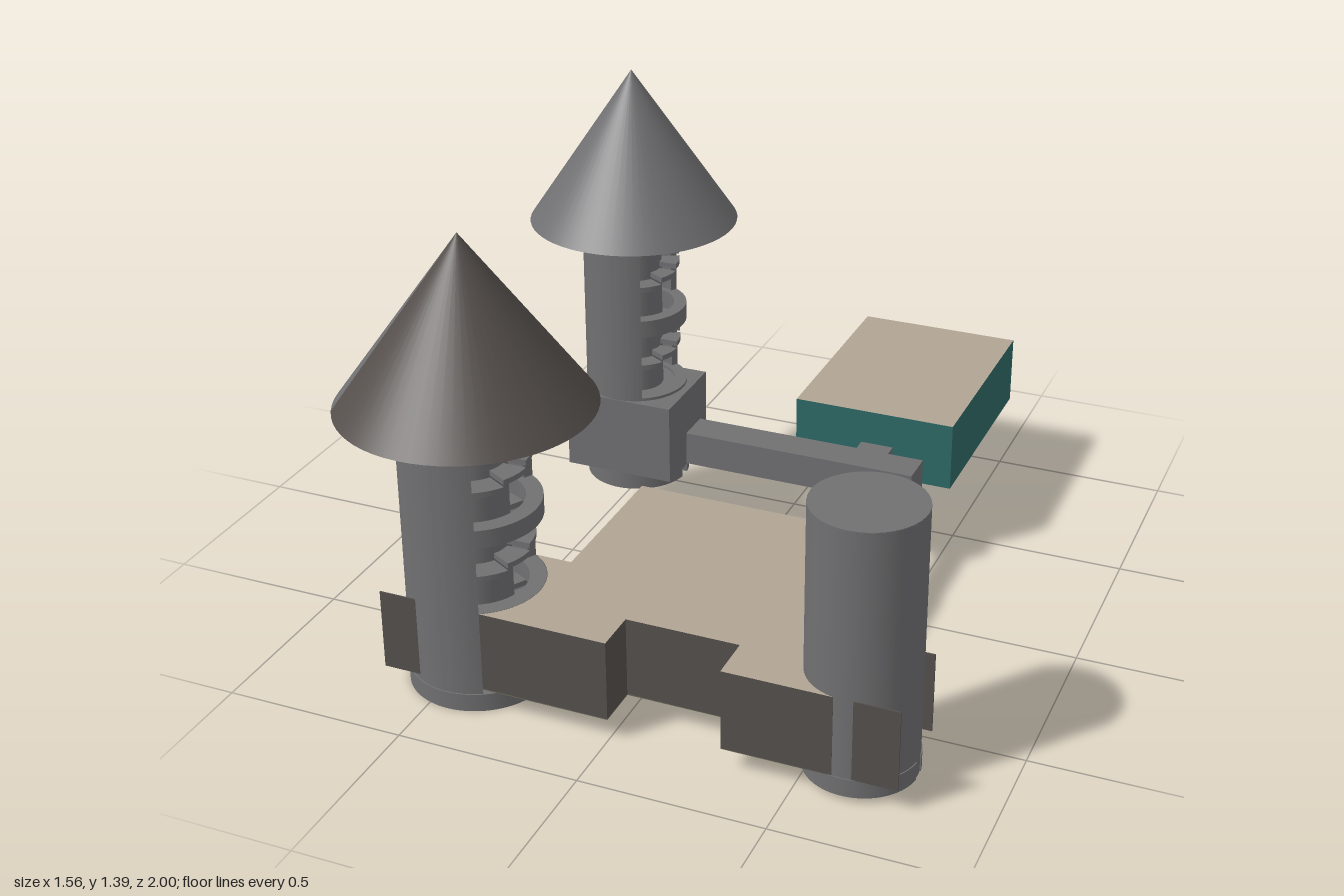
import * as THREE from 'three';
import { toCreasedNormals } from 'three/addons/utils/BufferGeometryUtils.js';

const mat = (name, color) => {
  const m = new THREE.MeshStandardMaterial({ color });
  m.name = name;
  return m;
};

export function createModel() {
  const stone = mat('stone grey', 0x707072);
  const brown = mat('wall brown', 0x554f4c);
  const tan = mat('roof tan', 0xb0a494);
  const teal = mat('teal', 0x2e6966);
  const olive = mat('underside olive', 0x6b675a);
  const model = new THREE.Group();

  const add = (parent, name, geo, material, x = 0, y = 0, z = 0) => {
    const m = new THREE.Mesh(geo, material);
    m.name = name;
    m.position.set(x, y, z);
    parent.add(m);
    return m;
  };
  // Box given by its limits
  const box = (name, material, x0, x1, y0, y1, z0, z1) =>
    add(model, name, new THREE.BoxGeometry(x1 - x0, y1 - y0, z1 - z0), material,
      (x0 + x1) / 2, (y0 + y1) / 2, (z0 + z1) / 2);
  // Upright prism of a plan shape
  const prism = (shape, depth) => {
    const g = new THREE.ExtrudeGeometry(shape, { depth, bevelEnabled: false, curveSegments: 40 });
    return g.rotateX(-Math.PI / 2);
  };
  // Ring, or part of one between two angles
  const ring = (outer, inner, h, a0 = 0, a1 = Math.PI * 2) => {
    const s = new THREE.Shape();
    if (a1 - a0 > 6.28) {
      s.absarc(0, 0, outer, 0, Math.PI * 2);
      s.holes.push(new THREE.Path().absarc(0, 0, inner, 0, Math.PI * 2, true));
    } else {
      s.absarc(0, 0, outer, a0, a1);
      s.absarc(0, 0, inner, a1, a0, true);
    }
    return toCreasedNormals(prism(s, h), 0.6);
  };

  // Tower: core, shell, floor rings and spiral steps; open on the +x side if asked
  const tower = (name, x, z, r, y0, top, open) => {
    const t = new THREE.Group();
    t.name = name;
    t.position.set(x, 0, z);
    model.add(t);
    const h = top - y0;
    add(t, 'core', new THREE.CylinderGeometry(r * 0.52, r * 0.52, h - 0.02, 40), stone, 0, y0 + h / 2 + 0.01, 0);
    const gap = open ? Math.PI / 3 : 0;
    add(t, 'shell', ring(r, r * 0.86, h, gap, Math.PI * 2 - gap), stone, 0, y0, 0);
    add(t, 'baseRing', ring(r * 1.02, r * 0.72, 0.05, 0.12, Math.PI * 2 - 0.12), stone, 0, y0, 0);
    if (!open) {
      add(t, 'topCap', new THREE.CylinderGeometry(r, r, 0.02, 40), stone, 0, top - 0.008, 0);
      return t;
    }
    for (let y = y0 + 0.24; y < top - 0.1; y += 0.24)
      add(t, 'floorRing', ring(r * 0.995, r * 0.75, 0.05), stone, 0, y, 0);
    add(t, 'topRing', ring(r * 0.995, r * 0.5, 0.06), stone, 0, top - 0.06, 0);
    const steps = Math.floor((h - 0.1) / 0.02);
    for (let i = 0; i < steps; i++) {
      const a = i * Math.PI / 6 + Math.PI;
      add(t, 'step', ring(r * 0.87, r * 0.5, 0.015, a, a + Math.PI / 6), stone, 0, y0 + 0.05 + i * 0.02, 0);
    }
    return t;
  };

  const front = tower('frontTower', -0.445, 0.66, 0.184, 0.005, 0.8, true);
  const rear = tower('rearTower', -0.4, -0.255, 0.145, 0.18, 0.97, true);
  tower('sideTower', 0.627, 0.68, 0.147, 0.02, 0.755, false);

  // Conical roofs; the front one has differently coloured sectors
  const cone = (t, name, material, r, y0, y1, from = 0, to = 360) =>
    add(t, name, new THREE.ConeGeometry(r, y1 - y0, Math.max(6, Math.round((to - from) / 6)), 1, true,
      THREE.MathUtils.degToRad(from), THREE.MathUtils.degToRad(to - from)), material, 0, (y0 + y1) / 2, 0);
  const eave = (t, r, y) =>
    add(t, 'eave', new THREE.CircleGeometry(r, 60).rotateX(Math.PI / 2), stone, 0, y, 0);
  [[brown, -60, 135], [stone, 135, 215], [brown, 215, 245], [stone, 245, 300]].forEach(([m, a, b]) =>
    cone(front, 'roofSector', m, 0.335, 0.8, 1.26, a, b));
  eave(front, 0.335, 0.8);
  cone(rear, 'roof', stone, 0.29, 0.97, 1.4);
  eave(rear, 0.29, 0.97);

  // Main hall: plan outline with round bites for the two towers
  const plan = new THREE.Shape();
  plan.moveTo(-0.25, -0.05);
  plan.lineTo(-0.25, -0.5);
  plan.lineTo(-0.353, -0.5);
  plan.absarc(-0.445, -0.66, 0.184, Math.PI / 3, -Math.PI / 3, true);
  plan.lineTo(0, -0.82);
  plan.lineTo(0, -0.7);
  plan.lineTo(0.31, -0.7);
  plan.lineTo(0.31, -0.825);
  plan.lineTo(0.6, -0.825);
  plan.absarc(0.627, -0.68, 0.143, Math.PI * 1.44, Math.PI * 0.66, true);
  plan.lineTo(0.43, -0.555);
  plan.lineTo(0.43, -0.05);
  add(model, 'hall', prism(plan, 0.225), [tan, brown], 0, 0.07, 0);
  add(model, 'hallUnderside', prism(plan, 0.003), olive, 0, 0.068, 0);

  // Thin walls running on past the towers
  box('frontLeftWing', brown, -0.64, -0.5, 0.07, 0.295, 0.816, 0.82);
  box('backLeftWing', brown, -0.64, -0.5, 0.07, 0.295, 0.5, 0.504);
  box('frontRightWing', brown, 0.62, 0.77, 0.07, 0.295, 0.821, 0.825);
  box('backRightWing', brown, 0.62, 0.77, 0.07, 0.295, 0.555, 0.559);

  // Rear tower block and the bridges
  box('towerBlock', stone, -0.555, -0.235, 0.23, 0.462, -0.375, -0.108);
  box('longBridge', stone, -0.24, 0.45, 0.232, 0.33, -0.33, -0.228);
  box('pavilionLink', stone, 0.25, 0.345, 0.235, 0.328, -0.38, -0.32);
  box('hallLink', stone, 0.37, 0.425, 0.235, 0.29, -0.24, 0.06);

  // Teal pavilion with tan top and brown underside
  box('pavilion', [teal, teal, tan, brown, teal, teal], 0.05, 0.52, 0.23, 0.428, -1, -0.375);

  return model;
}
